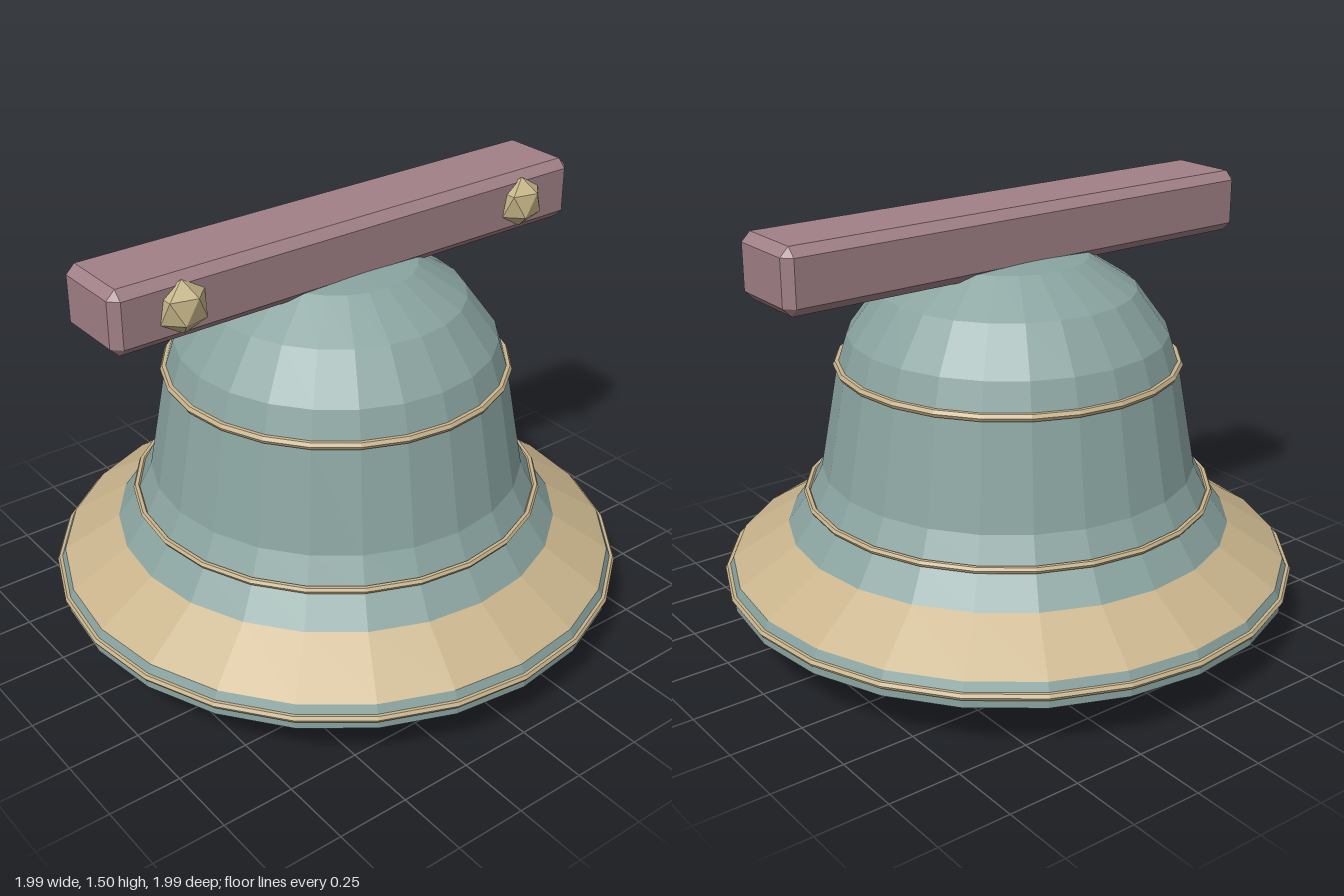
import * as THREE from 'three';
import { ConvexGeometry } from 'three/addons/geometries/ConvexGeometry.js';

const SIDES = 24;

function material(name, color) {
  const m = new THREE.MeshStandardMaterial({ color, flatShading: true });
  m.name = name;
  return m;
}

// Surface of revolution; profiles run so that faces point out of the metal
function lathe(profile) {
  return new THREE.LatheGeometry(profile.map(([x, y]) => new THREE.Vector2(x, y)), SIDES);
}

// Box with every edge and corner cut off
function chamferedBox(hx, hy, hz, c) {
  const points = [];
  for (const sx of [-1, 1]) for (const sy of [-1, 1]) for (const sz of [-1, 1]) {
    points.push(
      new THREE.Vector3(sx * hx, sy * (hy - c), sz * (hz - c)),
      new THREE.Vector3(sx * (hx - c), sy * hy, sz * (hz - c)),
      new THREE.Vector3(sx * (hx - c), sy * (hy - c), sz * hz));
  }
  return new ConvexGeometry(points);
}

// Twenty-sided knob standing on a corner
function knob(rx, ry, rz) {
  return new THREE.IcosahedronGeometry(1, 0)
    .rotateZ(-Math.atan(2 / (1 + Math.sqrt(5))))
    .scale(rx, ry, rz);
}

export function createModel() {
  const group = new THREE.Group();
  const verdigris = material('verdigris', 0x8aa4a0);
  const gold = material('gold', 0xc9b48c);
  const brass = material('boltBrass', 0xc6b688);
  const wood = material('mauveWood', 0xa08086);
  const iron = material('iron', 0x6f6c7c);

  function add(name, geometry, mat, x = 0, y = 0, z = 0) {
    const mesh = new THREE.Mesh(geometry, mat);
    mesh.name = name;
    mesh.position.set(x, y, z);
    group.add(mesh);
  }

  // Bell wall, from the mouth up to the crown
  add('lip', lathe([[0.89, 0.155], [0.985, 0.18]]), gold);
  add('rim', lathe([[0.985, 0.18], [0.985, 0.22], [0.967, 0.26]]), verdigris);
  add('flareBand', lathe([[0.967, 0.26], [0.77, 0.385]]), gold);
  add('bellBody', lathe([
    [0.77, 0.385], [0.692, 0.495], [0.645, 0.59], [0.58, 0.95],
    [0.545, 1.06], [0.435, 1.21], [0.27, 1.315], [0, 1.335],
  ]), verdigris);
  add('bellInside', lathe([
    [0, 1.27], [0.24, 1.25], [0.39, 1.15], [0.49, 1.03], [0.525, 0.93],
    [0.585, 0.58], [0.64, 0.46], [0.72, 0.34], [0.89, 0.155],
  ]), verdigris);

  // Raised rings around the bell
  const rings = [['shoulderRing', 0.58, 0.955, 0.014], ['waistRing', 0.7, 0.497, 0.012], ['rimRing', 0.984, 0.22, 0.013]];
  for (const [name, radius, y, tube] of rings) {
    add(name, new THREE.TorusGeometry(radius, tube, 6, SIDES).rotateX(Math.PI / 2), gold, 0, y);
  }

  // Clapper
  add('clapperRod', new THREE.CylinderGeometry(0.028, 0.028, 0.98, 8), iron, 0, 0.79);
  add('clapperBall', knob(0.14, 0.2, 0.14), iron, 0, 0.2);

  // Headstock beam with a bolt at each end of the front
  add('headstock', chamferedBox(0.915, 0.107, 0.147, 0.03), wood, 0, 1.398);
  for (const side of [-1, 1]) {
    add(side > 0 ? 'leftBolt' : 'rightBolt', knob(0.088, 0.088, 0.065), brass, side * 0.68, 1.403, 0.147);
  }
  return group;
}
